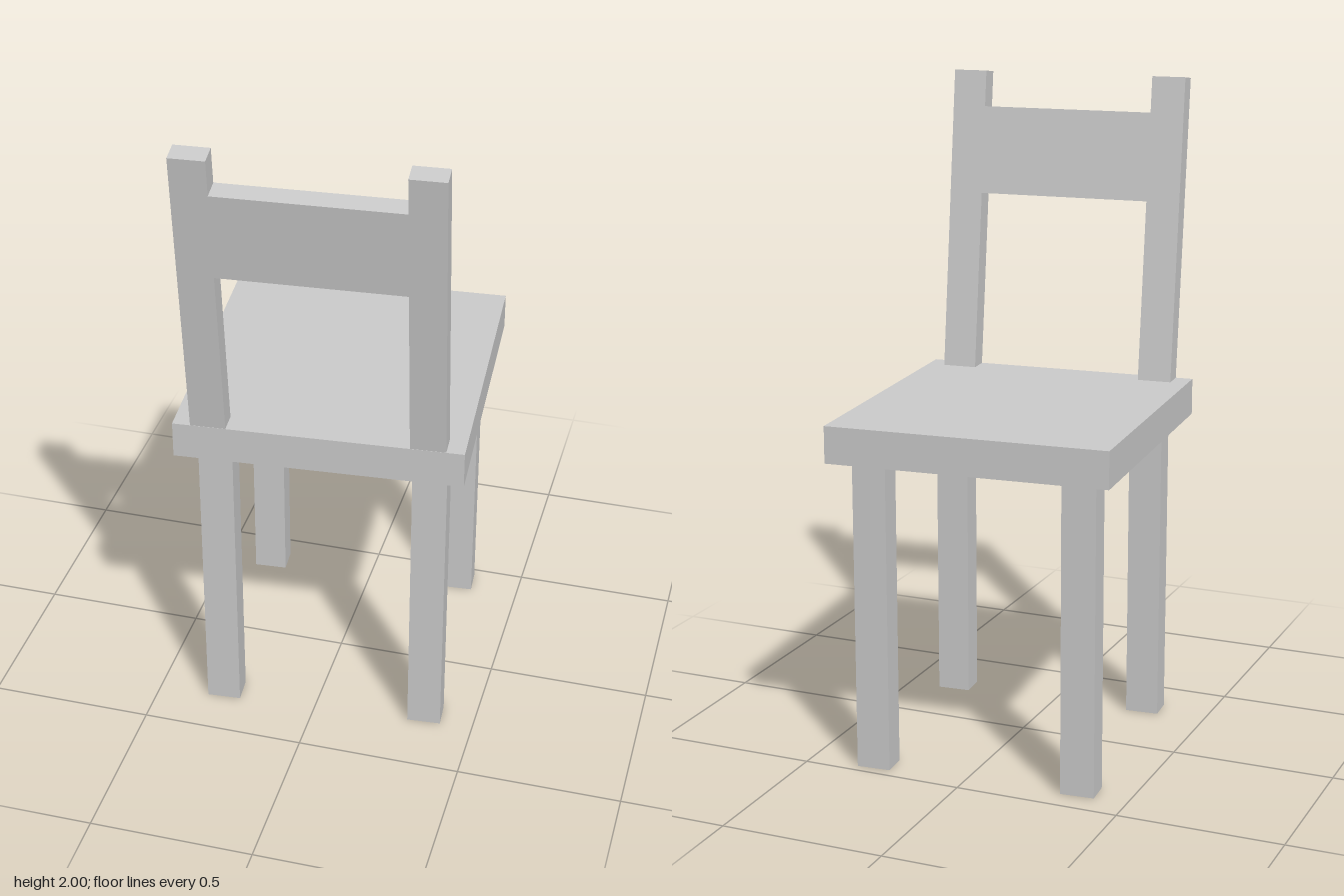
import * as THREE from 'three';

const material = new THREE.MeshStandardMaterial({ color: 0xcccccc, flatShading: true });

function addBox(parent, name, size, position) {
  const mesh = new THREE.Mesh(new THREE.BoxGeometry(...size), material);
  mesh.name = name;
  mesh.position.set(...position);
  parent.add(mesh);
}

export function createModel() {
  const model = new THREE.Group();

  // The whole chair is turned slightly about the vertical axis
  const chair = new THREE.Group();
  chair.name = 'chair';
  chair.rotation.y = 0.0735;
  chair.position.z = -0.058;
  model.add(chair);

  // Seat slab
  addBox(chair, 'seat', [0.857, 0.112, 0.907], [0, 1.014, 0]);

  // Four legs
  for (const x of [-1, 1]) {
    for (const z of [-1, 1]) {
      const name = (z < 0 ? 'front' : 'back') + (x < 0 ? 'Right' : 'Left') + 'Leg';
      addBox(chair, name, [0.103, 0.96, 0.081], [x * 0.32, 0.48, z * 0.346]);
    }
  }

  // Backrest: two posts and a flush crossbar cut from one leaning panel,
  // with the feet of the posts sunk into the seat
  const outer = 0.375, inner = 0.27;
  const foot = -0.04, top = 0.938, barBottom = 0.555, barTop = 0.827;
  const half = [
    [inner, barBottom], [inner, foot], [outer, foot],
    [outer, top], [inner, top], [inner, barTop],
  ];
  const mirrored = half.map(([x, y]) => [-x, y]).reverse();
  const outline = [...half, ...mirrored].map(([x, y]) => new THREE.Vector2(x, y));
  const backrest = new THREE.Mesh(
    new THREE.ExtrudeGeometry(new THREE.Shape(outline), { depth: 0.065, bevelEnabled: false }),
    material
  );
  backrest.name = 'backrest';
  backrest.position.set(0, 1.07, 0.387);
  backrest.rotation.x = 0.128;
  chair.add(backrest);

  return model;
}
